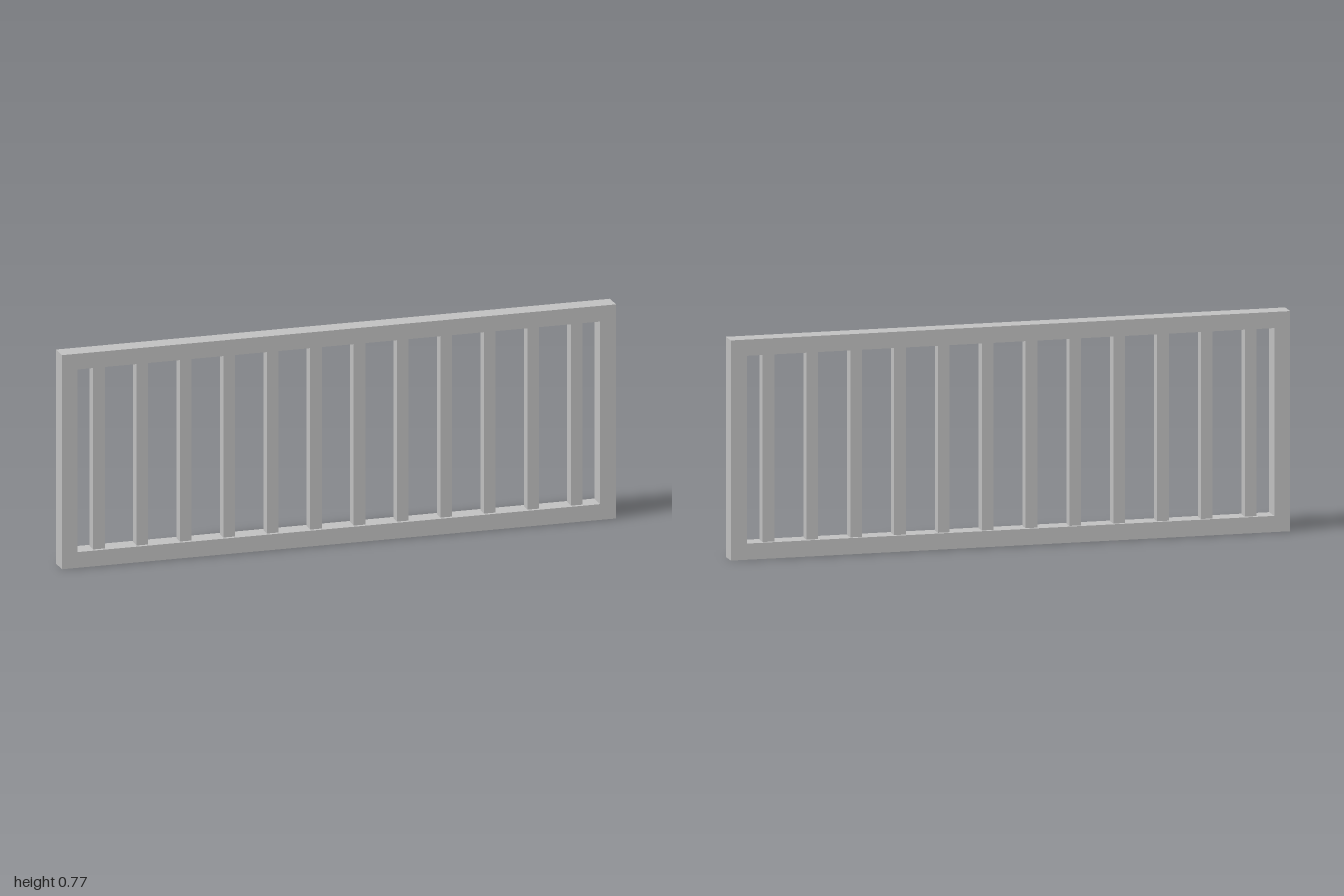
import * as THREE from 'three';

const W = 2, H = 0.775, D = 0.068; // overall frame size
const RAIL = 0.057;                // frame member width
const BAR = 0.042;                 // square baluster width
const BARS = 12, REACH = 0.862;    // baluster count and outermost centre

export function createModel() {
  const group = new THREE.Group();
  group.name = 'railingPanel';
  const grey = new THREE.MeshStandardMaterial({ color: 0xc0c0c0 });
  grey.name = 'grey';

  // One-piece rectangular frame with an open middle
  const outline = (w, h, Type) => {
    const path = new Type();
    path.moveTo(-w / 2, -h / 2);
    path.lineTo(w / 2, -h / 2);
    path.lineTo(w / 2, h / 2);
    path.lineTo(-w / 2, h / 2);
    path.closePath();
    return path;
  };
  const shape = outline(W, H, THREE.Shape);
  shape.holes.push(outline(W - 2 * RAIL, H - 2 * RAIL, THREE.Path));
  const frameGeo = new THREE.ExtrudeGeometry(shape, { depth: D, bevelEnabled: false });
  frameGeo.translate(0, H / 2, -D / 2);
  const frame = new THREE.Mesh(frameGeo, grey);
  frame.name = 'frame';
  group.add(frame);

  // Evenly spaced square balusters
  const barGeo = new THREE.BoxGeometry(BAR, H - 2 * RAIL, BAR);
  for (let i = 0; i < BARS; i++) {
    const bar = new THREE.Mesh(barGeo, grey);
    bar.name = `baluster${i + 1}`;
    bar.position.set(-REACH + (2 * REACH * i) / (BARS - 1), H / 2, 0);
    group.add(bar);
  }
  return group;
}
